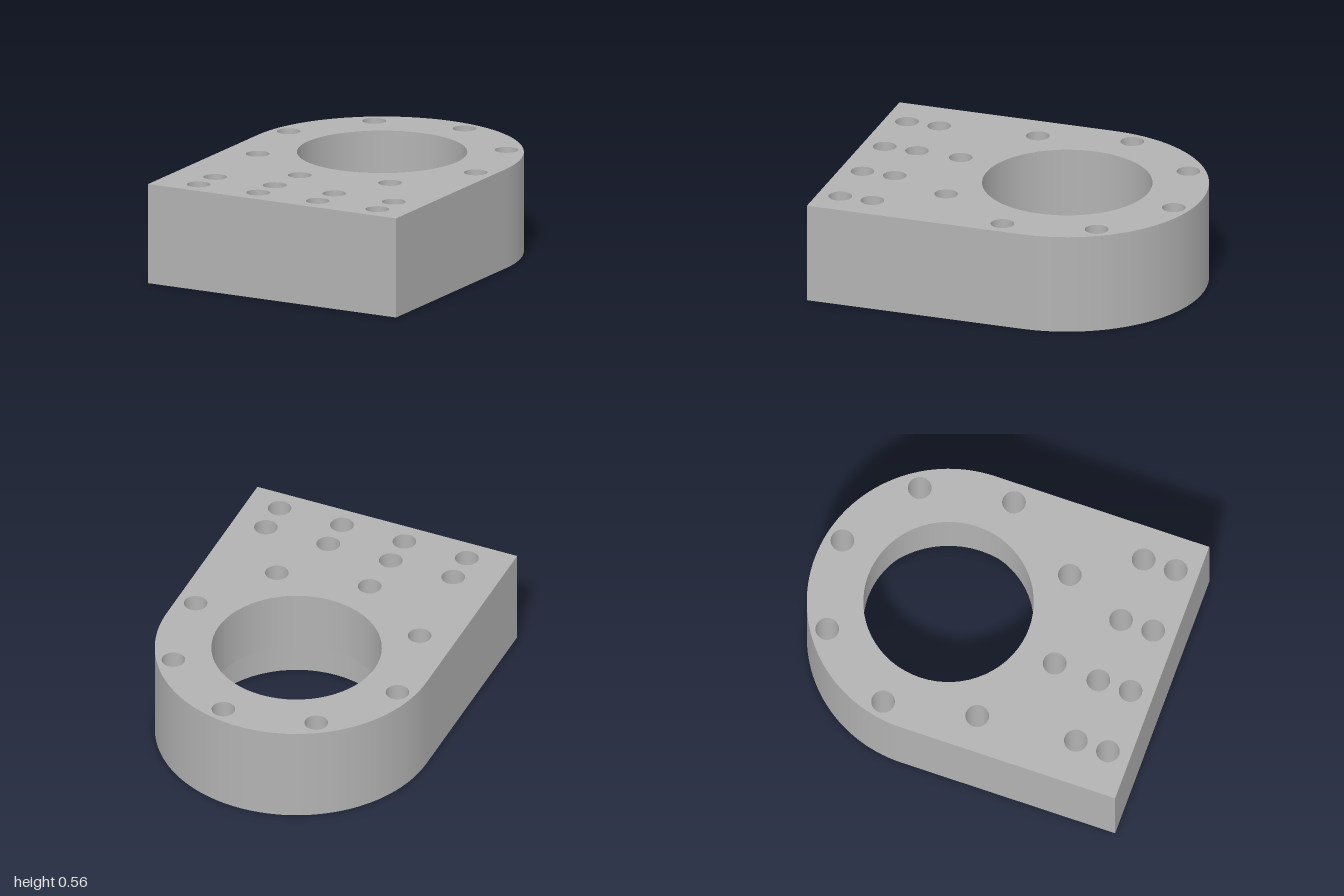
import * as THREE from 'three';

const H = 0.556, R = 0.77, CZ = -0.23;        // block height, rounded end radius and centre
const BORE = 0.463, COUNTER = 0.527, LEDGE = 0.214; // stepped bore
const HOLE = 0.064;
const SEG = 64;

export function createModel() {
  const group = new THREE.Group();
  const steel = new THREE.MeshStandardMaterial({ color: 0xb2b2b2 });
  steel.name = 'grey metal';

  const add = (name, geometry, x = 0, y = 0, z = 0) => {
    const mesh = new THREE.Mesh(geometry, steel);
    mesh.name = name;
    mesh.position.set(x, y, z);
    group.add(mesh);
    return mesh;
  };

  // Band of revolution; rising profiles face outward, falling ones inward
  const band = (name, r0, y0, r1, y1, x, z, start = 0, length = Math.PI * 2) =>
    add(name, new THREE.LatheGeometry(
      [new THREE.Vector2(r0, y0), new THREE.Vector2(r1, y1)], SEG, start, length), x, 0, z);

  // Through hole positions: a bolt circle round the bore and a grid at the front
  const holes = [];
  for (let i = 0; i < 8; i++) {
    const a = THREE.MathUtils.degToRad(12.3 + i * 45);
    holes.push([0.677 * Math.sin(a), CZ - 0.677 * Math.cos(a)]);
  }
  for (const z of [0.688, 0.873])
    for (let i = 0; i < 4; i++) holes.push([-0.527 + i * 0.37, z]);

  // Flat face with all openings; s is +1 for the top and -1 for the bottom
  const face = (name, s, boreRadius) => {
    const shape = new THREE.Shape();
    shape.moveTo(-R, -s);
    shape.lineTo(R, -s);
    shape.absarc(0, -s * CZ, R, 0, s * Math.PI, s < 0);
    shape.closePath();
    const cut = (x, z, r) =>
      shape.holes.push(new THREE.Path().absarc(x, -s * z, r, 0, Math.PI * 2, true));
    cut(0, CZ, boreRadius);
    holes.forEach(([x, z]) => cut(x, z, HOLE));
    const geometry = new THREE.ShapeGeometry(shape, SEG / 2);
    geometry.rotateX(-s * Math.PI / 2);
    add(name, geometry, 0, s > 0 ? H : 0, 0);
  };
  face('topFace', 1, BORE);
  face('bottomFace', -1, COUNTER);

  // Outer walls
  band('roundedBackWall', R, 0, R, H, 0, CZ, Math.PI / 2, Math.PI);
  add('frontWall', new THREE.PlaneGeometry(2 * R, H), 0, H / 2, 1);
  for (const s of [-1, 1]) {
    add(s > 0 ? 'leftWall' : 'rightWall', new THREE.PlaneGeometry(1 - CZ, H),
      s * R, H / 2, (1 + CZ) / 2).rotation.y = s * Math.PI / 2;
  }

  // Stepped bore, wider at the bottom
  band('boreWall', BORE, H, BORE, LEDGE, 0, CZ);
  band('boreLedge', BORE, LEDGE, COUNTER, LEDGE, 0, CZ);
  band('counterboreWall', COUNTER, LEDGE, COUNTER, 0, 0, CZ);

  // Bolt hole walls
  holes.forEach(([x, z]) => band('boltHoleWall', HOLE, H, HOLE, 0, x, z));

  return group;
}
